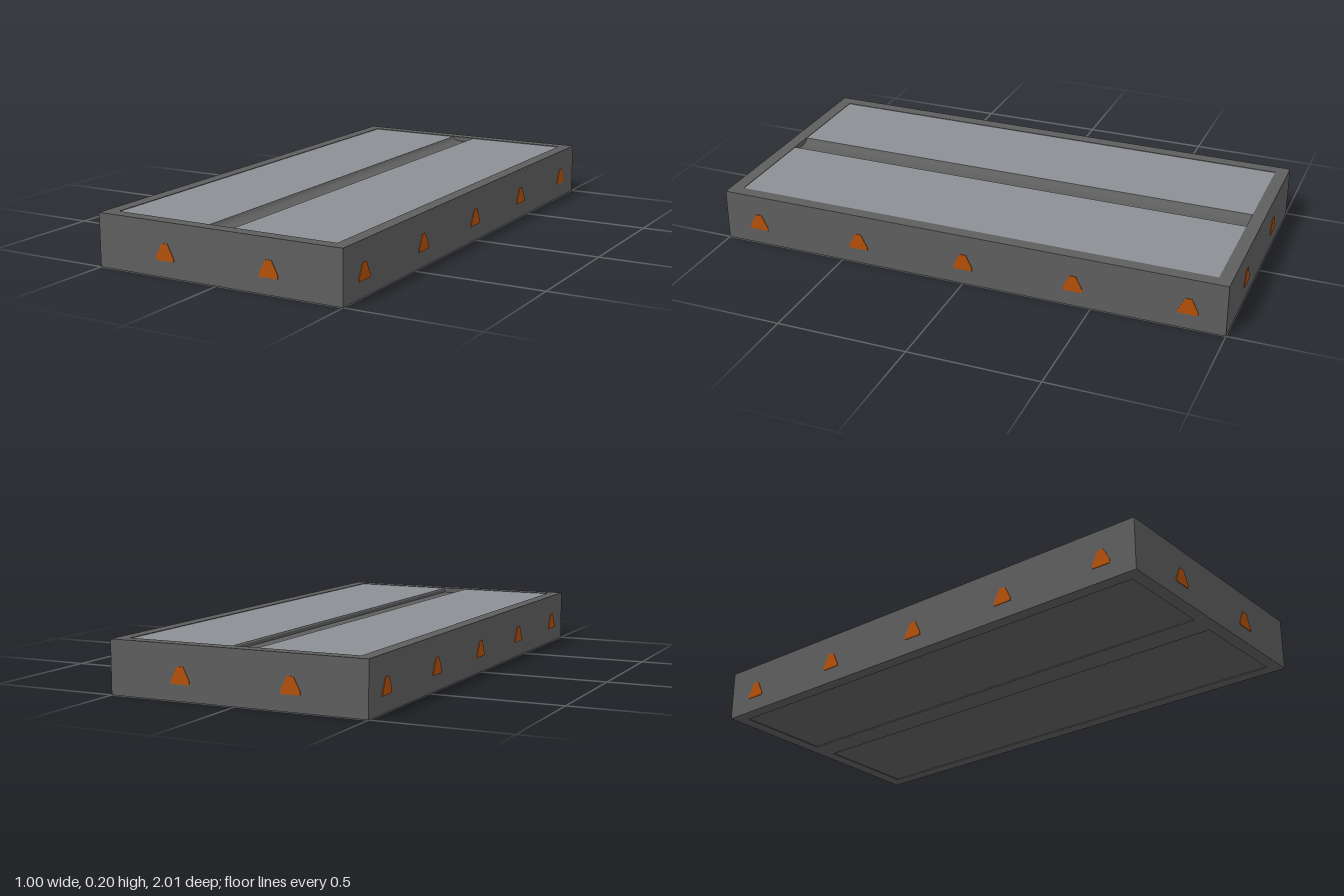
import * as THREE from 'three';
import { toCreasedNormals } from 'three/addons/utils/BufferGeometryUtils.js';

const mat = (name, color, side = THREE.FrontSide) => {
  const m = new THREE.MeshStandardMaterial({ color, side });
  m.name = name;
  return m;
};

export function createModel() {
  const group = new THREE.Group();
  const frameMat = mat('dark grey frame', 0x5e5e5e);
  const panelMat = mat('blue grey panel', 0x8c9095);
  const markMat = mat('orange marker', 0xb4500a);

  const add = (name, geometry, material, x = 0, y = 0, z = 0, ry = 0) => {
    const mesh = new THREE.Mesh(geometry, material);
    mesh.name = name;
    mesh.position.set(x, y, z);
    mesh.rotation.y = ry;
    group.add(mesh);
  };
  // Box given by its limits on each axis
  const slab = (name, material, x0, x1, y0, y1, z0, z1) =>
    add(name, new THREE.BoxGeometry(x1 - x0, y1 - y0, z1 - z0), material,
      (x0 + x1) / 2, (y0 + y1) / 2, (z0 + z1) / 2);

  // Outer frame
  for (const s of [-1, 1]) {
    slab('sideRail', frameMat, s * 0.475 - 0.025, s * 0.475 + 0.025, 0, 0.2, -0.95, 0.95);
    slab('endRail', frameMat, -0.5, 0.5, 0, 0.2, s * 0.975 - 0.025, s * 0.975 + 0.025);
  }

  // Panels, slightly recessed above and below
  for (const [x0, x1] of [[-0.45, -0.06], [0.04, 0.45]]) {
    slab('panelBody', frameMat, x0, x1, 0.004, 0.193, -0.95, 0.95);
    slab('panelTop', panelMat, x0, x1, 0.193, 0.198, -0.95, 0.95);
  }

  // Central channel: flat floor with a concave ramp on one side
  const profile = new THREE.Shape();
  profile.moveTo(-0.06, 0);
  profile.lineTo(0.04, 0);
  profile.lineTo(0.04, 0.18);
  profile.lineTo(-0.01, 0.18);
  profile.quadraticCurveTo(-0.05, 0.18, -0.06, 0.198);
  const channel = new THREE.ExtrudeGeometry(profile, { depth: 1.9, bevelEnabled: false, curveSegments: 12 });
  add('centreChannel', toCreasedNormals(channel, 0.5), frameMat, 0, 0, -0.95);

  // Blunt triangular markers around the sides
  const tri = new THREE.Shape([
    [-0.037, 0.06], [0.037, 0.06], [0.037, 0.073], [0.012, 0.122], [-0.012, 0.122], [-0.037, 0.073],
  ].map(([x, y]) => new THREE.Vector2(x, y)));
  const marker = new THREE.ExtrudeGeometry(tri, { depth: 0.003, bevelEnabled: false });
  for (const s of [-1, 1]) {
    for (const x of [-0.214, 0.214])
      add('endMarker', marker, markMat, x, 0, s * 0.9995, s > 0 ? 0 : Math.PI);
    for (let i = -2; i <= 2; i++)
      add('sideMarker', marker, markMat, s * 0.4995, 0, i * 0.43, s * Math.PI / 2);
  }
  return group;
}
